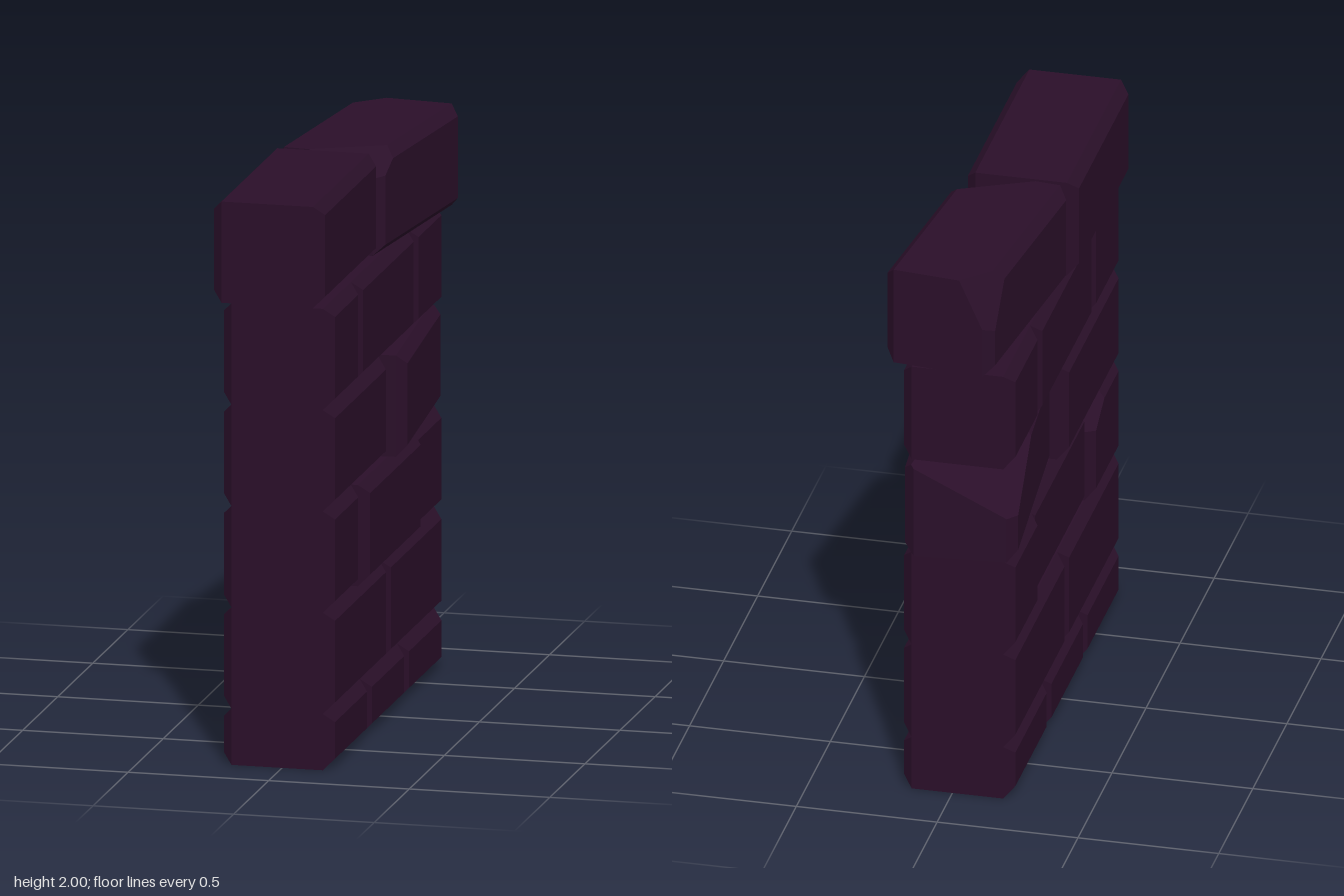
import * as THREE from 'three';
import { ConvexGeometry } from 'three/addons/geometries/ConvexGeometry.js';

const BEVEL = 0.035;
const HALF_X = 0.1975; // half the wall thickness
const WALL_X = -0.0175;

// Brick with bevelled side faces; each chip slices off one top corner.
function brickGeometry(hy, hz, chips = []) {
  let points = [];
  for (const sx of [-1, 1]) for (const sy of [-1, 1]) for (const sz of [-1, 1]) {
    points.push(new THREE.Vector3(sx * (HALF_X - BEVEL), sy * hy, sz * hz));
    points.push(new THREE.Vector3(sx * HALF_X, sy * (hy - BEVEL), sz * (hz - BEVEL)));
  }
  for (const { sx, sz, size: [dx, dy, dz] } of chips) {
    const side = (p) => (HALF_X - sx * p.x) / dx + (hy - p.y) / dy + (hz - sz * p.z) / dz - 1;
    const kept = points.filter((p) => side(p) >= 0);
    const lost = points.filter((p) => side(p) < 0);
    const cuts = [];
    for (const a of kept) for (const b of lost) {
      cuts.push(a.clone().lerp(b, side(a) / (side(a) - side(b))));
    }
    points = kept.concat(cuts);
  }
  return new ConvexGeometry(points);
}

export function createModel() {
  const wall = new THREE.Group();
  wall.name = 'brickWall';
  const stone = new THREE.MeshStandardMaterial({ color: 0x2a0f29 });
  stone.name = 'darkPlum';

  // Courses from the ground up: joints run from front (+z) to back (-z).
  const halves = [0.81, 0.015, -0.775];
  const thirds = [0.81, 0.41, -0.38, -0.775];
  const courses = [
    { y0: 0, y1: 0.2, joints: [0.81, 0.285, -0.245, -0.775] },
    { y0: 0.2, y1: 0.56, joints: halves },
    { y0: 0.56, y1: 0.92, joints: thirds },
    { y0: 0.92, y1: 1.28, joints: halves },
    { y0: 1.28, y1: 1.64, joints: thirds },
    { y0: 1.64, y1: 2, joints: halves },
  ];

  // Loose and damaged bricks, keyed by course and position.
  const special = {
    '2-0': { chips: [{ sx: -1, sz: -1, size: [0.16, 0.12, 0.22] }] },
    '2-1': { x: 0.0075 },
    '3-1': { x: 0.003, z: -0.397, turn: 0.086, chips: [{ sx: -1, sz: -1, size: [0.4, 0.21, 0.4] }] },
    '5-0': { x: -0.0525 },
    '5-1': {
      x: 0.008, z: -0.383, turn: -0.11,
      chips: [
        { sx: 1, sz: 1, size: [0.27, 0.1, 0.17] },
        { sx: -1, sz: -1, size: [0.12, 0.25, 0.15] },
      ],
    },
  };

  courses.forEach(({ y0, y1, joints }, row) => {
    const course = new THREE.Group();
    course.name = `course${row + 1}`;
    for (let i = 0; i < joints.length - 1; i++) {
      const { x = WALL_X, z = (joints[i] + joints[i + 1]) / 2, turn = 0, chips } = special[`${row}-${i}`] ?? {};
      const brick = new THREE.Mesh(brickGeometry((y1 - y0) / 2, (joints[i] - joints[i + 1]) / 2, chips), stone);
      brick.name = chips ? 'chippedBrick' : 'brick';
      brick.position.set(x, (y0 + y1) / 2, z);
      brick.rotation.y = turn;
      course.add(brick);
    }
    wall.add(course);
  });
  return wall;
}
